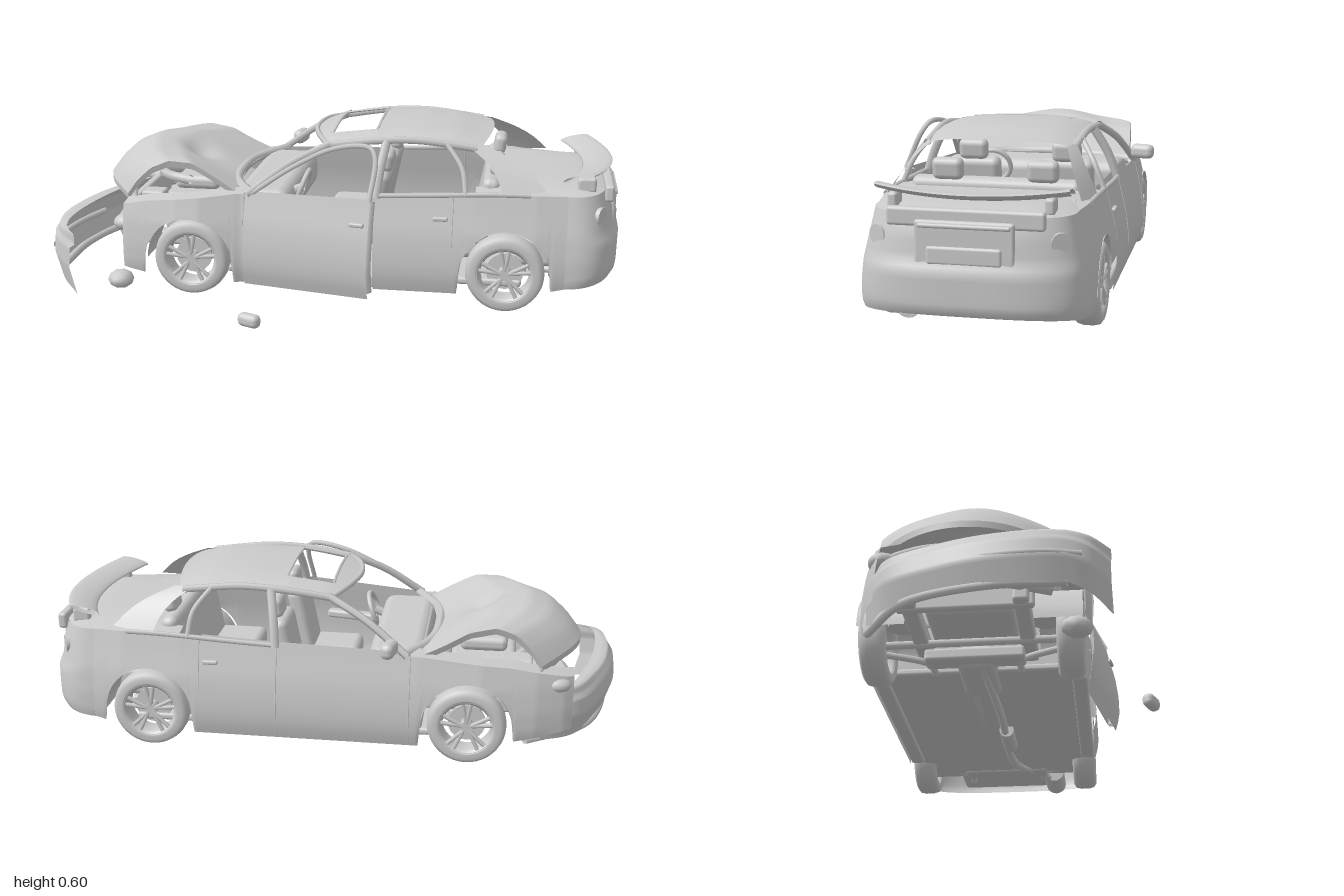
import * as THREE from 'three';
import { RoundedBoxGeometry } from 'three/addons/geometries/RoundedBoxGeometry.js';

const grey = new THREE.MeshStandardMaterial({ color: 0xcccccc, side: THREE.DoubleSide });
const { sin, cos, abs, sqrt, sign, PI } = Math;
const mix = (a, b, t) => a + (b - a) * t;
// lookup in a small table of [position, value]
function look(table, x) {
  const i = Math.max(0, table.findLastIndex((q, k) => k < table.length - 1 && q[0] < x));
  const [a, b] = [table[i], table[i + 1]];
  return mix(a[1], b[1], THREE.MathUtils.clamp((x - a[0]) / (b[0] - a[0]), 0, 1));
}
function add(parent, name, geo, x = 0, y = 0, z = 0) {
  const m = new THREE.Mesh(geo, grey);
  m.name = name;
  m.position.set(x, y, z);
  parent.add(m);
  return m;
}
function group(parent, name, x = 0, y = 0, z = 0, turn = 0) {
  const g = new THREE.Group();
  g.name = name;
  g.position.set(x, y, z);
  g.rotation.y = turn;
  parent.add(g);
  return g;
}
const box = (p, name, w, h, d, x, y, z, r = 0.01) =>
  add(p, name, new RoundedBoxGeometry(w, h, d, 2, Math.min(r, w / 2.1, h / 2.1, d / 2.1)), x, y, z);
const boxes = (p, table) => Object.entries(table).forEach(([name, dims]) => box(p, name, ...dims));
const curve = pts => new THREE.CatmullRomCurve3(pts.map(q => new THREE.Vector3(...q)));
const tube = (p, name, pts, r, n = 24) => add(p, name, new THREE.TubeGeometry(curve(pts), n, r, 6));
const rod = (p, name, r, len, x, y, z, turn) => add(p, name, new THREE.CylinderGeometry(r, r, len, 20).rotateX(PI / 2).rotateY(turn), x, y, z);
// curved panel from f(a, b), with a and b in 0..1
function sheet(p, name, f, na, nb) {
  const g = new THREE.PlaneGeometry(1, 1, nb, na), pos = g.attributes.position;
  for (let i = 0; i <= na; i++) for (let j = 0; j <= nb; j++) pos.setXYZ(i * (nb + 1) + j, ...f(i / na, j / nb));
  g.computeVertexNormals();
  return add(p, name, g);
}

// body rules: the car's nose points to -x, its sides are +z and -z
const AXLES = [-0.458, 0.605], WHEEL_Y = 0.15, ARCH = 0.15;
const halfWidth = u => look([[-0.83, 0.24], [-0.77, 0.285], [-0.68, 0.322], [-0.5, 0.358], [-0.3, 0.37], [0.5, 0.37], [0.7, 0.36], [0.8, 0.343]], u);
const inset = y => look([[0.06, 0.022], [0.13, 0.002], [0.2, 0.002], [0.28, 0.012], [0.36, 0.032], [0.44, 0.05]], y);
const belt = u => look([[-0.83, 0.305], [-0.6, 0.352], [-0.3, 0.385], [0.2, 0.4], [0.6, 0.42], [0.8, 0.415]], u);
function bottom(u) {
  const d = Math.min(...AXLES.map(c => abs(u - c)));
  return d < ARCH ? WHEEL_Y + sqrt(ARCH * ARCH - d * d) : look([[-0.83, 0.14], [-0.6, 0.1], [-0.3, 0.08], [0.45, 0.082], [0.75, 0.1], [0.8, 0.11]], u);
}
// the left front fender is bent outward
const bent = (u, s) => s > 0 ? look([[-0.65, 0.045], [-0.42, 0.035], [-0.28, 0]], u) : 0;
const side = (u, t, s, lo = bottom(u)) => {
  const y = mix(lo, belt(u), t);
  return [u, y, s * (halfWidth(u) - inset(y) + bent(u, s))];
};
const inward = (u, t, s, lo, d, lift = 0) => { const q = side(u, t, s, lo); return [q[0], q[1] + lift, q[2] - s * d]; };
const roofY = (u, n) => look([[-0.07, 0.556], [0.02, 0.577], [0.15, 0.594], [0.3, 0.6], [0.42, 0.594], [0.53, 0.572]], u) - 0.016 * n * n - 0.014 * n ** 6;
const roofPoint = (u, n) => [u, roofY(u, n), n * look([[-0.07, 0.236], [0.15, 0.25], [0.52, 0.235]], u)];

function wheel(parent, name, u, s) {
  const g = group(parent, name, u, WHEEL_Y, s * 0.308, s < 0 ? PI : 0);
  const lathe = (n, pts) => add(g, n, new THREE.LatheGeometry(pts.map(q => new THREE.Vector2(...q)), 40).rotateX(PI / 2));
  lathe('tyre', [[0.09, -0.04], [0.112, -0.043], [0.125, -0.034], [0.13, -0.015], [0.13, 0.015], [0.125, 0.034], [0.112, 0.043], [0.09, 0.04]]);
  lathe('rim', [[0.093, -0.04], [0.082, -0.03], [0.08, 0.028], [0.088, 0.034], [0.093, 0.042], [0.098, 0.04]]);
  rod(g, 'brakeDisc', 0.062, 0.012, 0, 0, -0.012, 0);
  rod(g, 'hub', 0.02, 0.045, 0, 0, 0.012, 0);
  for (let i = 0; i < 5; i++) for (const d of [-0.16, 0.16]) {
    const a = (i * 0.4 + 0.5) * PI;
    tube(g, 'spoke', [[0.014 * cos(a), 0.014 * sin(a), 0.03], [0.086 * cos(a + d), 0.086 * sin(a + d), 0.034]], 0.007, 2);
  }
}
function seat(parent, name, x, z, w, heads) {
  box(parent, name + 'Cushion', 0.2, 0.07, w, x, 0.21, z, 0.025);
  box(parent, name + 'Back', 0.06, 0.24, w, x + 0.11, 0.335, z, 0.025).rotation.z = -0.2;
  for (const k of heads) box(parent, name + 'Headrest', 0.045, 0.07, 0.1, x + 0.145, 0.48, z + k, 0.02).rotation.z = -0.15;
}

function buildSides(car) {
  const range = (name, a, b, s, n) => sheet(car, name, (i, t) => side(mix(a, b, i), t, s), n, 10);
  range('leftFrontFender', -0.69, -0.27, 1, 60);
  range('leftRearSide', 0.17, 0.8, 1, 70);
  range('rightSide', -0.8, 0.8, -1, 170);
  for (const s of [1, -1]) {
    // folded edges, door linings and arch liners
    sheet(car, 'fenderTop', (i, t) => inward(mix(s > 0 ? -0.69 : -0.8, -0.27, i), 1, s, 0, 0.06 * t, 0.008 * t), 20, 2);
    sheet(car, 'rearShoulder', (i, t) => inward(mix(0.5, 0.8, i), 1, s, 0, 0.07 * t, 0.01 * t), 8, 2);
    sheet(car, 'doorLining', (i, t) => inward(mix(s > 0 ? 0.18 : -0.26, 0.43, i), t, s, 0.1, 0.035), 16, 8);
    for (const c of AXLES) sheet(car, 'archLiner', (i, t) => [c + ARCH * cos(i * PI), WHEEL_Y + ARCH * sin(i * PI), s * mix(0.35, 0.2, t)], 20, 1);
    box(car, 'sill', 0.74, 0.045, 0.05, 0.08, 0.105, s * 0.325);
    for (const u of s > 0 ? [0.43] : [-0.27, 0.17, 0.43])
      tube(car, 'doorSeam', [0.02, 0.3, 0.6, 0.98].map(t => side(u, t, s, u > 0.4 ? 0.24 : 0.1)), 0.002);
    box(car, 'rearDoorHandle', 0.05, 0.014, 0.016, 0.39, 0.335, s * 0.348, 0.005);
    // pillars and roof rails
    tube(car, 'frontPillar', [[-0.26, 0.385, s * 0.332], [-0.12, 0.485, s * 0.287], [0.01, 0.548, s * 0.24]], 0.013);
    tube(car, 'roofRail', [0.0, 0.15, 0.3, 0.5].map(u => roofPoint(u, s)), 0.012);
    tube(car, 'centrePillar', [[0.175, 0.39, s * 0.33], [0.185, 0.48, s * 0.297], [0.2, 0.565, s * 0.249]], 0.015);
    tube(car, 'rearDoorFrame', [[0.47, 0.41, s * 0.326], [0.455, 0.49, s * 0.292], [0.4, 0.562, s * 0.243]], 0.009);
    tube(car, 'windowLedge', [0.17, 0.35, 0.55, 0.68].map(u => side(u, 1, s)), 0.008);
    sheet(car, 'rearPillar', (i, t) => [mix(mix(0.59, 0.73, i), mix(0.47, 0.53, i), t) + 0.02 * sin(t * PI),
      mix(mix(0.415, 0.428, i), 0.555, t) + 0.008 * sin(t * PI), s * mix(mix(0.325, 0.295, i), mix(0.238, 0.218, i), t)], 6, 8);
  }
}

function buildRoof(car) {
  // panels around the open sunroof
  const front = n => 0.07 * n * n - 0.07, hole = 0.66;
  const roof = (name, a, b, n0, n1) => sheet(car, name, (i, j) => {
    const n = mix(n0, n1, j);
    return roofPoint(mix(a(n), b(n), i), n);
  }, 14, 14);
  roof('roofFront', front, () => 0.005, -1, 1);
  roof('roofRear', () => 0.16, n => 0.545 - 0.035 * n * n, -1, 1);
  for (const s of [1, -1]) roof('roofSide', () => 0.005, () => 0.16, s * hole, s);
  for (const u of [0.005, 0.16]) tube(car, 'sunroofEdge', [-hole, 0, hole].map(n => roofPoint(u, n)), 0.005);
  tube(car, 'windscreenHeader', [-1, -0.5, 0, 0.5, 1].map(n => roofPoint(front(n), n)), 0.009);
}

function buildTail(car) {
  // rounded bumper and boot deck share one outline
  const tail = a => [0.8 + 0.165 * abs(cos(a)) ** 0.72, sign(sin(a)) * abs(sin(a)) ** 0.66];
  const push = y => look([[0.1, -0.02], [0.15, 0.012], [0.26, 0.014], [0.285, -0.002], [0.36, -0.012], [0.42, -0.03]], y);
  sheet(car, 'rearBumper', (i, t) => {
    const a = (i - 0.5) * PI, [u, n] = tail(a), y = mix(0.11 + 0.02 * cos(a), 0.415, t);
    return [u + push(y) * abs(cos(a)) ** 0.5, y, n * (0.343 - inset(y))];
  }, 48, 16);
  sheet(car, 'bootDeck', (i, t) => {
    const a = (i - 0.5) * PI, [u, n] = tail(a);
    return [mix(0.7, u - 0.03 * abs(cos(a)) ** 0.5, t), 0.415 + 0.025 * (1 - n ** 4) * (1 - t ** 4), n * 0.3];
  }, 32, 10);
  boxes(car, { bootLidPanel: [0.02, 0.14, 0.29, 0.952, 0.335, 0], bootLidEdge: [0.03, 0.055, 0.46, 0.935, 0.41, 0],
    plateRecess: [0.02, 0.055, 0.22, 0.958, 0.305, 0], bootTrim: [0.02, 0.014, 0.27, 0.958, 0.39, 0] });
  sheet(car, 'spoiler', (i, t) => {
    const n = 2 * i - 1, q = t * PI * 2;
    return [0.9 - 0.07 * n * n + 0.05 * cos(q), 0.464 + 0.012 * cos(q) + 0.01 * n * n + 0.01 * sin(q), n * 0.285];
  }, 28, 14);
  for (const s of [1, -1]) {
    box(car, 'spoilerFoot', 0.06, 0.05, 0.03, 0.86, 0.44, s * 0.23);
    rod(car, 'tailLight', 0.03, 0.03, 0.9, 0.345, s * 0.262, PI / 2 - s * 0.5);
  }
}

function buildFront(car) {
  // buckled, dented bonnet with folded lips
  const bonnet = (i, j, lower) => {
    const n = 2 * j - 1, u = mix(-0.825, -0.33, i) + n * n * mix(0.13, 0.07, i), w = n * mix(0.27, 0.315, i);
    const y = look([[0, 0.375], [0.08, 0.425], [0.2, 0.475], [0.35, 0.5], [0.55, 0.49], [0.76, 0.442], [1, 0.387]], i);
    const dent = 0.03 * Math.exp(-((u + 0.5) ** 2 + (w - 0.03) ** 2) / 0.003);
    return [u, y - 0.025 * n ** 4 - dent + 0.01 * sin(n * 5 + i * 4) * sin(i * PI) - lower, w * (1 - lower)];
  };
  sheet(car, 'bonnet', (i, j) => bonnet(i, j, 0), 28, 28);
  for (const j of [0, 1]) sheet(car, 'bonnetSideLip', (i, t) => bonnet(i, j, 0.022 * t), 28, 1);
  sheet(car, 'bonnetFrontLip', (j, t) => bonnet(0, j, 0.022 * t), 28, 1);
  // engine bay
  boxes(car, { firewall: [0.02, 0.26, 0.62, -0.3, 0.25, 0], engineBlock: [0.22, 0.14, 0.28, -0.5, 0.25, 0, 0.02],
    intake: [0.16, 0.05, 0.18, -0.5, 0.345, 0, 0.02], battery: [0.08, 0.08, 0.07, -0.62, 0.31, 0.2],
    airBox: [0.11, 0.09, 0.09, -0.61, 0.31, -0.2], radiator: [0.03, 0.18, 0.42, -0.7, 0.23, 0] });
  tube(car, 'cowl', [[-0.25, 0.385, -0.32], [-0.33, 0.385, -0.16], [-0.345, 0.388, 0], [-0.33, 0.385, 0.16], [-0.25, 0.385, 0.32]], 0.018);
  tube(car, 'hose', [[-0.6, 0.33, -0.18], [-0.66, 0.35, -0.05], [-0.6, 0.36, 0.06], [-0.52, 0.36, 0.1]], 0.018);
  tube(car, 'crashBeam', [[-0.7, 0.2, -0.29], [-0.78, 0.2, -0.14], [-0.77, 0.2, 0.1], [-0.7, 0.2, 0.26]], 0.025);
  tube(car, 'upperCrossbar', [[-0.68, 0.33, -0.28], [-0.75, 0.33, -0.1], [-0.72, 0.33, 0.12], [-0.67, 0.33, 0.28]], 0.014);
  for (const s of [1, -1]) {
    add(car, 'strutTower', new THREE.CylinderGeometry(0.05, 0.05, 0.14, 20), AXLES[0], 0.28, s * 0.23);
    box(car, 'chassisRail', 0.45, 0.05, 0.05, -0.52, 0.17, s * 0.17);
    // the left lamp has dropped out of its fender
    const lamp = add(car, 'headlight', new THREE.SphereGeometry(0.06, 20, 12).scale(1, 0.55, 0.8), s > 0 ? -0.7 : -0.735, s > 0 ? 0.24 : 0.285, s * 0.24);
    lamp.rotation.y = s * 0.5;
  }
}

function buildDoor(car) {
  // left front door, hanging open on its front hinge
  const door = group(group(car, 'openDoor', -0.27, 0, 0.36, -0.19), 'doorParts', 0.27, 0, -0.36);
  sheet(door, 'doorSkin', (i, t) => side(mix(-0.27, 0.17, i), t, 1, 0.075), 16, 10);
  sheet(door, 'doorTrim', (i, t) => inward(mix(-0.26, 0.165, i), t, 1, 0.1, 0.035), 16, 10);
  tube(door, 'doorEdge', [0.02, 0.35, 0.7, 1].map(t => inward(0.165, t, 1, 0.09, 0.017)), 0.016);
  tube(door, 'doorWindowFrame', [[-0.25, 0.388, 0.328], [-0.11, 0.485, 0.285], [0.02, 0.548, 0.25], [0.14, 0.56, 0.248], [0.165, 0.53, 0.265], [0.165, 0.4, 0.328]], 0.009, 40);
  boxes(door, { doorHandle: [0.05, 0.014, 0.016, 0.13, 0.325, 0.35, 0.005], armrest: [0.2, 0.03, 0.04, 0, 0.27, 0.31] });
}

function buildCabin(car) {
  boxes(car, { floorPan: [1.0, 0.025, 0.62, 0.16, 0.11, 0], bootFloor: [0.28, 0.1, 0.4, 0.78, 0.185, 0, 0.02],
    rearShelf: [0.16, 0.02, 0.56, 0.64, 0.415, 0], dashboard: [0.19, 0.13, 0.6, -0.22, 0.325, 0, 0.04],
    centreConsole: [0.4, 0.1, 0.09, 0, 0.18, 0, 0.02], rearViewMirror: [0.015, 0.03, 0.08, -0.04, 0.53, 0] });
  add(car, 'steeringWheel', new THREE.TorusGeometry(0.062, 0.009, 8, 28).rotateY(PI / 2).rotateZ(-0.35), -0.1, 0.37, 0.16);
  tube(car, 'steeringColumn', [[-0.2, 0.33, 0.16], [-0.1, 0.37, 0.16]], 0.016, 3);
  for (const s of [1, -1]) seat(car, 'frontSeat', 0.05, s * 0.16, 0.18, [0]);
  seat(car, 'rearBench', 0.42, 0, 0.54, [-0.15, 0.15]);
  box(car, 'wingMirror', 0.045, 0.052, 0.085, -0.205, 0.422, -0.37, 0.02).rotation.y = -0.2;
}

function buildUnderside(car) {
  for (const c of AXLES) {
    tube(car, 'axle', [[c, WHEEL_Y, -0.3], [c, WHEEL_Y, 0.3]], 0.014, 2);
    for (const s of [1, -1]) tube(car, 'suspensionArm', [[c, 0.12, s * 0.29], [c + 0.04, 0.1, s * 0.15], [c + 0.12, 0.1, s * 0.14]], 0.012);
    box(car, 'subframe', 0.08, 0.04, 0.32, c + 0.03, 0.11, 0);
  }
  tube(car, 'exhaustPipe', [[-0.4, 0.09, 0.02], [0, 0.08, 0.04], [0.5, 0.085, 0.05], [0.7, 0.11, 0.14], [0.92, 0.13, 0.2]], 0.014);
  rod(car, 'middleSilencer', 0.026, 0.16, 0.22, 0.085, 0.045, PI / 2);
  rod(car, 'rearSilencer', 0.04, 0.16, 0.83, 0.14, 0.18, PI / 2);
  tube(car, 'propShaft', [[-0.35, 0.1, -0.03], [0.6, 0.12, -0.03]], 0.014, 2);
  box(car, 'gearbox', 0.26, 0.08, 0.13, -0.3, 0.12, 0, 0.03);
}

export function createModel() {
  const root = new THREE.Group();
  root.name = 'crashedCar';
  const car = group(group(root, 'turnedFrame', 0, 0, 0, -0.35), 'car', 0, 0, -0.042);
  for (const build of [buildSides, buildRoof, buildTail, buildFront, buildDoor, buildCabin, buildUnderside]) build(car);
  AXLES.forEach((u, i) => [1, -1].forEach(s => wheel(car, (i ? 'rear' : 'front') + 'Wheel', u, s)));
  // torn front bumper, still held at the right fender, its top edge folded inward
  const path = curve([[-0.5, 0, -0.55], [-0.66, 0, -0.53], [-0.79, 0, -0.41], [-0.885, 0, -0.28], [-0.955, 0, -0.12], [-0.965, 0, 0], [-0.92, 0, 0.09]]);
  sheet(root, 'tornBumper', (i, t) => {
    const p = path.getPoint(i), drop = Math.max(0, i - 0.75) * 0.24;
    const out = look([[0, 0], [0.4, 0.022], [0.7, 0.016], [0.9, -0.005], [1, -0.045]], t) * (t > 0.7 ? sin(i * PI) : 1);
    return [p.x - out, mix(0.095 - drop, 0.265 - drop * 0.3, Math.min(1, t / 0.9)), p.z - out * 0.5];
  }, 40, 20);
  const bar = (name, at, x, y, r) => tube(root, name, at.map(i => { const p = path.getPoint(i); return [p.x + x, y, p.z]; }), r);
  bar('bumperLip', [0, 0.25, 0.5, 0.75], 0.01, 0.1, 0.014);
  bar('grilleBar', [0.35, 0.5, 0.65, 0.8], -0.015, 0.18, 0.012);
  // loose pieces on the ground
  box(root, 'fallenMirror', 0.08, 0.045, 0.04, -0.37, 0.025, 0.41, 0.018).rotation.y = -0.75;
  add(root, 'brokenLamp', new THREE.IcosahedronGeometry(0.045, 1).scale(1, 0.7, 1.1), -0.77, 0.06, 0.03);
  return root;
}
